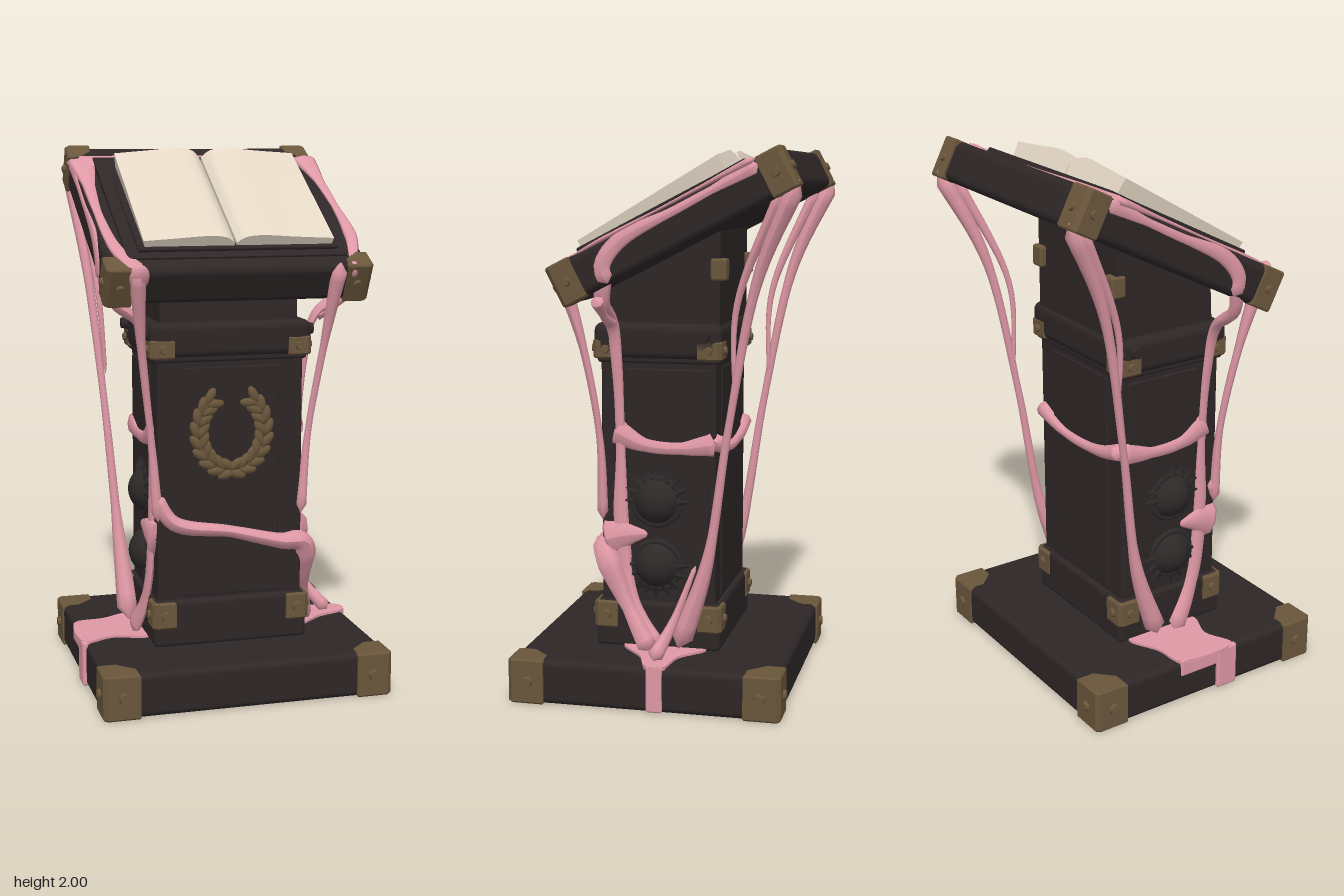
import * as THREE from 'three';
import { toCreasedNormals } from 'three/addons/utils/BufferGeometryUtils.js';
import { RoundedBoxGeometry } from 'three/addons/geometries/RoundedBoxGeometry.js';

const mat = (name, color, side = THREE.FrontSide) => {
  const m = new THREE.MeshStandardMaterial({ color, side });
  m.name = name;
  return m;
};
const DARK = mat('dark wood', 0x2e2627);
const ORB = mat('dark stone', 0x2d2929);
const BRASS = mat('aged brass', 0x6a563b);
const GOO = mat('pink goo', 0xde98a5, THREE.DoubleSide);
const PAPER = mat('paper', 0xe4d7c5);

function add(parent, name, geo, material, x = 0, y = 0, z = 0) {
  const m = new THREE.Mesh(geo, material);
  m.name = name;
  m.position.set(x, y, z);
  parent.add(m);
  return m;
}
const box = (w, h, d, r = 0.015) => new RoundedBoxGeometry(w, h, d, 3, r);

// Extrude a [z, y] outline across the width
function sideExtrude(points, width) {
  const shape = new THREE.Shape(points.map(p => new THREE.Vector2(...p)));
  const g = new THREE.ExtrudeGeometry(shape, { depth: width, bevelEnabled: false });
  return g.rotateY(-Math.PI / 2).translate(width / 2, 0, 0);
}

// Brass caps with rivets on four corners of a block
function cornerCaps(parent, name, hx, hz, y, zc, s, h, rivet) {
  const k = s * 0.5;
  const shape = new THREE.Shape([[0, -0.012], [-0.012, 0], [-s, 0], [-s, -k], [-k, -s], [0, -s]].map(p => new THREE.Vector2(...p)));
  const geo = new THREE.ExtrudeGeometry(shape, { depth: h - 0.012, bevelThickness: 0.006, bevelSize: 0.005, bevelSegments: 1 });
  geo.rotateX(Math.PI / 2).translate(0, h / 2 - 0.006, 0);
  [[1, 1], [1, -1], [-1, -1], [-1, 1]].forEach(([sx, sz], i) => {
    const g = new THREE.Group();
    g.name = name;
    g.position.set(sx * hx, y, zc + sz * hz);
    g.rotation.y = i * Math.PI / 2;
    parent.add(g);
    add(g, 'cornerPlate', geo, BRASS);
    const a = add(g, 'rivet', new THREE.CylinderGeometry(rivet * 0.7, rivet, 0.025, 8), BRASS, 0.004, 0, -s * 0.55);
    a.rotation.z = -Math.PI / 2;
    const b = add(g, 'rivet', a.geometry, BRASS, -s * 0.55, 0, 0.004);
    b.rotation.x = Math.PI / 2;
  });
}

// Tapering strand through points, radii spread along it, flattened by [x, y]
function strand(parent, points, radii, flat = [1, 1]) {
  const curve = new THREE.CatmullRomCurve3(points.map(p => new THREE.Vector3(...p)));
  const seg = points.length * 7, sides = 8;
  const geo = new THREE.TubeGeometry(curve, seg, 1, sides);
  const pos = geo.attributes.position, v = new THREE.Vector3();
  for (let i = 0; i <= seg; i++) {
    const t = i / seg, c = curve.getPointAt(t);
    const f = t * (radii.length - 1), n = Math.min(Math.floor(f), radii.length - 2);
    const end = i === 0 || i === seg ? 0.05 : 1;
    const r = end * THREE.MathUtils.lerp(radii[n], radii[n + 1], f - n);
    for (let j = 0; j <= sides; j++) {
      const id = i * (sides + 1) + j;
      v.fromBufferAttribute(pos, id).sub(c).multiplyScalar(r);
      v.x *= flat[0];
      v.y *= flat[1];
      v.add(c);
      pos.setXYZ(id, v.x, v.y, v.z);
    }
  }
  geo.computeVertexNormals();
  add(parent, 'gooStrand', geo, GOO);
}

function blob(parent, x, y, z, rx, ry, rz) {
  add(parent, 'gooBlob', new THREE.SphereGeometry(1, 14, 10), GOO, x, y, z).scale.set(rx, ry, rz);
}

// Flat pool from a closed smooth [x, z] outline
function pool(parent, outline, y) {
  const c = new THREE.CatmullRomCurve3(outline.map(p => new THREE.Vector3(p[0], p[1], 0)), true);
  const shape = new THREE.Shape(c.getPoints(36).map(p => new THREE.Vector2(p.x, p.y)));
  const g = new THREE.ExtrudeGeometry(shape, { depth: 0.015, bevelEnabled: false });
  add(parent, 'gooPool', g.rotateX(Math.PI / 2), GOO, 0, y, 0);
}

// One half of the open book, s = side
function pageBlock(s, w) {
  const shape = new THREE.Shape();
  shape.moveTo(0, 0);
  shape.lineTo(0, 0.03);
  shape.splineThru([[0.035, 0.052], [0.1, 0.058], [0.22, 0.05], [w, 0.042]].map(p => new THREE.Vector2(...p)));
  shape.lineTo(w - 0.01, 0);
  const g = new THREE.ExtrudeGeometry(shape, { depth: 0.59, steps: 8, curveSegments: 16, bevelEnabled: false });
  g.translate(0, 0, -0.295);
  if (s < 0) g.rotateY(Math.PI);
  const p = g.attributes.position;
  for (let i = 0; i < p.count; i++) p.setY(i, p.getY(i) * (1.23 - p.getZ(i) * 0.6));
  return toCreasedNormals(g, 0.6);
}

export function createModel() {
  const model = new THREE.Group();
  model.name = 'lectern';
  const zc = 0.025;

  // Base and column
  add(model, 'base', box(1.07, 0.165, 0.99, 0.025), DARK, 0, 0.0825, zc);
  cornerCaps(model, 'baseCorner', 0.537, 0.498, 0.083, zc, 0.125, 0.166, 0.025);
  add(model, 'columnFoot', box(0.59, 0.18, 0.47, 0.02), DARK, 0, 0.25, zc);
  cornerCaps(model, 'footCorner', 0.298, 0.237, 0.285, zc, 0.08, 0.1, 0.022);
  add(model, 'column', box(0.555, 0.96, 0.43, 0.012), DARK, 0, 0.78, zc);
  add(model, 'frontPanel', box(0.37, 0.86, 0.012, 0.005), DARK, 0, 0.78, 0.239);
  add(model, 'backPanel', box(0.37, 0.86, 0.012, 0.005), DARK, 0, 0.78, -0.189);
  add(model, 'collar', box(0.61, 0.13, 0.475, 0.03), DARK, 0, 1.31, zc);
  add(model, 'collarLip', box(0.58, 0.03, 0.45, 0.01), DARK, 0, 1.245, zc);
  cornerCaps(model, 'collarCorner', 0.3, 0.235, 1.28, zc, 0.08, 0.07, 0.02);
  add(model, 'neck', sideExtrude([[0.22, 1.36], [0.21, 1.54], [-0.2, 1.75], [-0.2, 1.36]], 0.52), DARK);
  for (const s of [-1, 1]) {
    add(model, 'neckBracket', box(0.06, 0.08, 0.06, 0.01), BRASS, s * 0.24, 1.57, -0.195);
    for (const z of [0.2, -0.15]) {
      const bolt = add(model, 'collarBolt', new THREE.CylinderGeometry(0.02, 0.025, 0.03, 8), DARK, s * 0.312, 1.335, z);
      bolt.rotation.z = -s * Math.PI / 2;
    }
    // Side panel, orbs and the claws around them
    add(model, 'sidePanel', box(0.02, 0.82, 0.31, 0.006), DARK, s * 0.273, 0.8, -0.01);
    for (const y of [0.72, 0.48]) {
      add(model, 'orb', new THREE.SphereGeometry(0.092, 24, 16), ORB, s * 0.25, y, 0.03);
      const ring = add(model, 'orbCollar', new THREE.TorusGeometry(0.088, 0.014, 6, 24), ORB, s * 0.28, y, 0.03);
      ring.rotation.y = Math.PI / 2;
      for (let i = 0; i < 9; i++) {
        const a = (i / 8) * Math.PI * (y > 0.6 ? 1 : -1);
        const claw = add(model, 'claw', new THREE.ConeGeometry(0.015, 0.05, 5), ORB,
          s * 0.287, y + Math.sin(a) * 0.105, 0.03 + Math.cos(a) * 0.105);
        claw.rotation.x = Math.PI / 2 - a;
      }
    }
  }

  // Laurel wreath on the front
  const wreath = new THREE.Group();
  wreath.name = 'wreath';
  wreath.position.set(0.003, 0.97, 0.248);
  model.add(wreath);
  const leaf = new THREE.SphereGeometry(1, 8, 6);
  for (const s of [-1, 1]) {
    for (let i = 0; i < 9; i++) {
      const a = -1.42 + i * 0.295;
      for (const [r, turn] of [[0.112, 0.55], [0.144, -0.45]]) {
        const l = add(wreath, 'leaf', leaf, BRASS, s * Math.cos(a) * r * 0.97, Math.sin(a) * r * 1.14, 0);
        l.scale.set(0.018, 0.035, 0.012);
        l.rotation.z = s * (a + turn);
      }
    }
    const stem = add(wreath, 'stem', new THREE.TorusGeometry(0.128, 0.008, 5, 24, 2.5), BRASS);
    stem.rotation.set(0, s < 0 ? Math.PI : 0, -1.45);
    stem.rotation.order = 'YXZ';
    stem.scale.y = 1.08;
  }

  // Sloping desk with book rest
  const desk = new THREE.Group();
  desk.name = 'desk';
  desk.position.set(0.008, 1.73, -0.08);
  desk.rotation.x = 0.475;
  model.add(desk);
  add(desk, 'deskBoard', box(0.965, 0.15, 0.925, 0.03), DARK, 0, 0, 0.015);
  cornerCaps(desk, 'deskCorner', 0.487, 0.463, 0, 0.014, 0.088, 0.154, 0.02);
  add(desk, 'bookRest', sideExtrude([[0.41, 0.06], [0.41, 0.082], [-0.31, 0.098], [-0.32, 0.06]], 0.81), DARK);
  add(desk, 'bookCover', box(0.745, 0.016, 0.63, 0.007), DARK, 0.012, 0.09, 0.06);
  const book = new THREE.Group();
  book.name = 'book';
  book.position.set(-0.003, 0.088, 0.064);
  book.rotation.x = 0.035;
  desk.add(book);
  add(book, 'leftPages', pageBlock(1, 0.365), PAPER, 0.004);
  add(book, 'rightPages', pageBlock(-1, 0.335), PAPER, -0.004);

  // Goo over the desk top
  const dg = new THREE.Group();
  dg.name = 'deskGoo';
  desk.add(dg);
  const thin = [1, 0.3];
  strand(dg, [[-0.45, 0.074, -0.34], [-0.45, 0.076, -0.2], [-0.452, 0.076, 0.1], [-0.43, 0.076, 0.34], [-0.375, 0.07, 0.47]],
    [0.06, 0.025, 0.016, 0.022, 0.038], thin);
  strand(dg, [[-0.47, 0.074, -0.3], [-0.33, 0.075, -0.31], [-0.1, 0.075, -0.34], [0.2, 0.075, -0.36]], [0.06, 0.045, 0.02, 0.005], thin);
  strand(dg, [[0.455, 0.074, -0.36], [0.465, 0.075, -0.25], [0.475, 0.074, 0], [0.465, 0.075, 0.28], [0.42, 0.07, 0.44]],
    [0.055, 0.022, 0.015, 0.026, 0.018], thin);
  blob(dg, -0.42, 0.072, -0.3, 0.06, 0.014, 0.05);
  for (const s of [-1, 1]) {
    strand(dg, [[s * 0.48, 0.05, -0.36], [s * 0.482, 0.045, -0.05], [s * 0.482, 0.04, 0.2], [s * 0.48, -0.01, 0.29], [s * 0.475, -0.07, 0.3]],
      [0.028, 0.014, 0.016, 0.028, 0.035], [0.4, 1]);
  }
  blob(dg, -0.375, 0.045, 0.475, 0.038, 0.05, 0.025);
  blob(dg, 0.42, 0.045, 0.46, 0.025, 0.035, 0.025);

  // Hanging strands and webs
  const goo = new THREE.Group();
  goo.name = 'goo';
  model.add(goo);
  const pressed = [0.45, 1];
  for (const s of [-1, 1]) {
    const inset = s > 0 ? 0.035 : 0;
    strand(goo, [[s * 0.45, 1.89, -0.51], [s * (0.42 - inset), 1.55, -0.36], [s * (0.375 - inset / 2), 1, -0.25], [s * 0.342, 0.5, -0.17], [s * 0.325, 0.18, -0.06]],
      [0.035, 0.018, 0.014, 0.018, 0.045]);
    strand(goo, [[s * 0.43, 1.86, -0.45], [s * (0.39 - inset), 1.45, -0.28], [s * (0.365 - inset / 2), 1.12, -0.27]], [0.022, 0.013, 0.007]);
    strand(goo, [[s * 0.465, 1.6, 0.17], [s * 0.43, 1.46, 0.19], [s * 0.34, 1.38, 0.18], [s * 0.305, 1.2, 0.17],
      [s * 0.285, 0.9, 0.165], [s * 0.283, 0.65, 0.165], [s * 0.29, 0.4, 0.14], [s * 0.305, 0.27, 0.09], [s * 0.33, 0.17, 0.02]],
      [0.035, 0.028, 0.022, 0.018, 0.018, 0.028, 0.032, 0.03, 0.045], pressed);
    strand(goo, [[s * 0.375, 1.59, 0.37], [s * 0.345, 1.3, 0.29], [s * 0.3, 0.95, 0.24], [s * 0.275, 0.64, 0.237]],
      [0.033, 0.015, 0.013, 0.022]);
    strand(goo, [[s * 0.28, 0.98, 0.19], [s * 0.285, 0.93, 0.08], [s * 0.285, 0.92, -0.06], [s * 0.28, 0.94, -0.19]],
      [0.05, 0.025, 0.022, 0.045], pressed);
    strand(goo, [[s * 0.28, 0.57, 0.22], [s * 0.29, 0.59, 0.15], [s * 0.3, 0.6, 0.06]], [0.07, 0.045, 0.01], pressed);
  }
  strand(goo, [[0.47, 1.47, 0.2], [0.4, 1.41, 0.19], [0.345, 1.38, 0.18]], [0.025, 0.016, 0.025]);
  strand(goo, [[0.34, 0.5, -0.13], [0.39, 0.28, -0.05], [0.47, 0.175, 0]], [0.008, 0.014, 0.03]);
  strand(goo, [[-0.283, 0.74, 0.225], [-0.22, 0.635, 0.245], [0, 0.59, 0.25], [0.2, 0.54, 0.25], [0.28, 0.53, 0.232], [0.31, 0.36, 0.15], [0.35, 0.17, 0.04]],
    [0.028, 0.028, 0.022, 0.028, 0.048, 0.026, 0.04]);
  strand(goo, [[-0.285, 0.95, -0.188], [-0.15, 0.91, -0.195], [0.1, 0.9, -0.195], [0.285, 0.95, -0.188]], [0.035, 0.02, 0.018, 0.035]);

  // Pools on the base and drips over its edge
  pool(goo, [[0.29, -0.16], [0.4, -0.08], [0.535, -0.05], [0.535, 0.01], [0.42, 0.06], [0.29, 0.15]], 0.174);
  pool(goo, [[-0.29, -0.17], [-0.42, -0.12], [-0.53, -0.1], [-0.535, 0.14], [-0.42, 0.1], [-0.29, 0.13]], 0.174);
  add(goo, 'gooDrip', box(0.02, 0.172, 0.06, 0.008), GOO, 0.531, 0.088, -0.02);
  add(goo, 'gooDrip', box(0.02, 0.07, 0.24, 0.009), GOO, -0.531, 0.14, 0.02);
  add(goo, 'gooDrip', box(0.025, 0.17, 0.09, 0.01), GOO, -0.537, 0.088, 0.11);
  return model;
}
